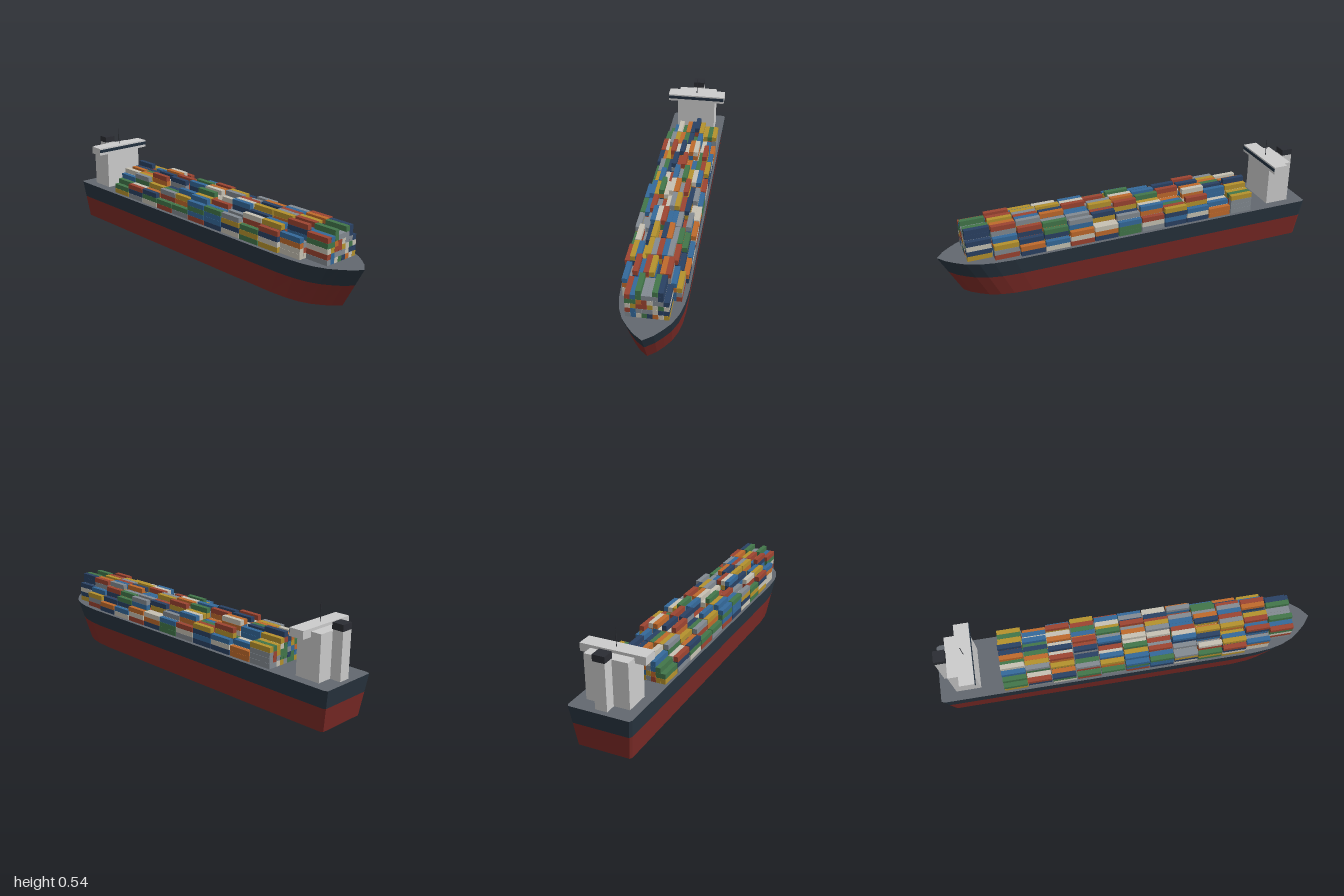
import * as THREE from 'three';
import { mergeGeometries } from 'three/addons/utils/BufferGeometryUtils.js';

const HULL_H = 0.21;
const WATER_Y = 0.12;

const paint = (color) => new THREE.MeshStandardMaterial({ color, flatShading: true });

function seeded(seed) {
  return () => {
    seed = (seed * 16807) % 2147483647;
    return seed / 2147483647;
  };
}

// Deck outline of one side: [x, half width], stern to bow
const SIDE = [[-1, 0.152], [-0.985, 0.16], [0.65, 0.16], [0.75, 0.152], [0.82, 0.137],
  [0.88, 0.112], [0.925, 0.08], [0.965, 0.046], [1, 0]];

// Closed hull outline at height y, narrowing and shortening towards the keel
function outline(y) {
  const t = 1 - y / HULL_H;
  const half = SIDE.map(([x, z]) => {
    const px = THREE.MathUtils.mapLinear(x, -1, 1, -1 + 0.03 * t, 1 - 0.11 * t);
    return [px, y, z * (1 - 0.144 * t)];
  });
  const mirrored = half.slice(0, -1).reverse().map(([x, h, z]) => [x, h, -z]);
  return [...half, ...mirrored];
}

function fromTriangles(points) {
  const g = new THREE.BufferGeometry();
  g.setAttribute('position', new THREE.Float32BufferAttribute(points.flat(), 3));
  g.computeVertexNormals();
  return g;
}

function hullBand(y0, y1) {
  const lo = outline(y0), hi = outline(y1), tris = [];
  lo.forEach((a, i) => {
    const j = (i + 1) % lo.length;
    tris.push(a, lo[j], hi[j], a, hi[j], hi[i]);
  });
  return fromTriangles(tris);
}

function hullCap(y, up) {
  const ring = outline(y), tris = [];
  ring.forEach((a, i) => {
    const b = ring[(i + 1) % ring.length];
    tris.push([0, y, 0], ...(up ? [a, b] : [b, a]));
  });
  return fromTriangles(tris);
}

export function createModel() {
  const ship = new THREE.Group();
  ship.name = 'containerShip';

  const add = (name, geometry, material, parent = ship) => {
    const mesh = new THREE.Mesh(geometry, material);
    mesh.name = name;
    parent.add(mesh);
    return mesh;
  };
  // Box given by its x, y and z limits
  const box = (name, [x0, x1], [y0, y1], halfZ, material, parent) =>
    add(name, new THREE.BoxGeometry(x1 - x0, y1 - y0, 2 * halfZ), material, parent)
      .position.set((x0 + x1) / 2, (y0 + y1) / 2, 0);

  // Hull
  add('lowerHull', hullBand(0, WATER_Y), paint(0x7a2a26));
  add('upperHull', hullBand(WATER_Y, HULL_H), paint(0x28343f));
  add('deck', hullCap(HULL_H, true), paint(0x62686f));
  add('keelPlate', hullCap(0, false), paint(0x1a1e23));

  // Accommodation block, bridge and funnel
  const white = paint(0xd2d4d5), dark = paint(0x2b2d33);
  const tower = new THREE.Group();
  tower.name = 'superstructure';
  ship.add(tower);
  box('house', [-0.917, -0.787], [HULL_H, 0.437], 0.11, white, tower);
  box('bridge', [-0.862, -0.785], [0.411, 0.451], 0.165, white, tower);
  box('bridgeWindows', [-0.79, -0.782], [0.426, 0.443], 0.164, paint(0x22303f), tower);
  box('funnelCasing', [-0.973, -0.918], [HULL_H, 0.443], 0.03, white, tower);
  box('funnelTop', [-0.973, -0.914], [0.443, 0.475], 0.031, dark, tower);
  add('mast', new THREE.CylinderGeometry(0.0017, 0.0017, 0.09, 8), dark, tower)
    .position.set(-0.825, 0.496, 0);

  // Container stacks, grouped by colour
  const colors = { orange: 0xbf6a2c, red: 0x9c4431, green: 0x42764a, blue: 0x34699a,
    navy: 0x2a4163, grey: 0x838a91, yellow: 0xb4912d, cream: 0xc6c1b3 };
  const names = Object.keys(colors);
  const batches = names.map(() => []);
  const rand = seeded(4711);
  const BAYS = 12, PITCH_X = 0.1282, PITCH_Y = 0.0262, PITCH_Z = 0.025;
  for (let bay = 0; bay < BAYS; bay++) {
    const rows = bay === BAYS - 1 ? 8 : bay === BAYS - 2 ? 11 : 12;
    for (let row = 0; row < rows; row++) {
      const z = (row - (rows - 1) / 2) * PITCH_Z;
      const limit = Math.abs(z) < 0.08 ? 6 : Math.abs(z) < 0.12 ? 5 : 4;
      const tiers = Math.min(limit - Math.floor(rand() * 2.5), bay === 1 ? 5 : 6);
      for (let tier = 0; tier < tiers; tier++) {
        const g = new THREE.BoxGeometry(0.1225, 0.0256, 0.0244);
        g.translate(-0.603 + bay * PITCH_X, 0.2145 + (tier + 0.5) * PITCH_Y, z);
        batches[Math.floor(rand() * names.length)].push(g);
      }
    }
  }
  const cargo = new THREE.Group();
  cargo.name = 'containers';
  ship.add(cargo);
  names.forEach((name, i) =>
    add(`${name}Containers`, mergeGeometries(batches[i]), paint(colors[name]), cargo));

  return ship;
}
